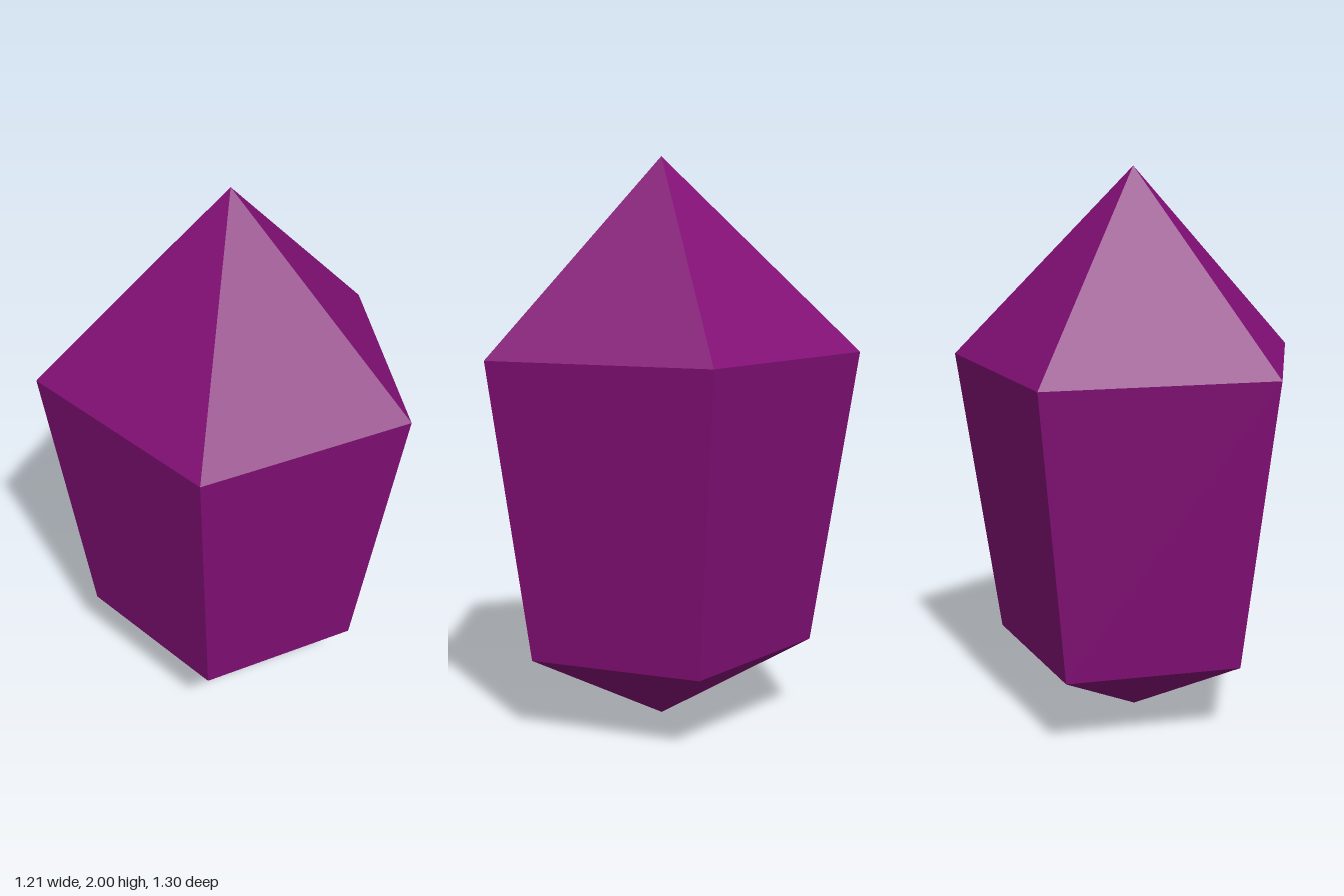
import * as THREE from 'three';

// Uneven five-sided cross-section (x, z), clockwise from above
const ring = [[-0.605, 0.01], [-0.152, -0.655], [0.603, -0.357], [0.587, 0.434], [-0.139, 0.65]];
const axis = [0.056, 0.01];

// The cross-section scaled about the crystal's axis at a given height
function section(y, scale) {
  return ring.map(([x, z]) => [
    axis[0] + (x - axis[0]) * scale,
    y,
    axis[1] + (z - axis[1]) * scale,
  ]);
}

// Joins neighbouring sections with flat facets; a scale of 0 makes a point
function facets(lower, upper) {
  const positions = [];
  lower.forEach((a, i) => {
    const j = (i + 1) % lower.length;
    const b = lower[j];
    positions.push(...b, ...a, ...upper[i], ...b, ...upper[i], ...upper[j]);
  });
  const geometry = new THREE.BufferGeometry();
  geometry.setAttribute('position', new THREE.Float32BufferAttribute(positions, 3));
  geometry.computeVertexNormals();
  return geometry;
}

export function createModel() {
  const crystal = new THREE.Group();
  crystal.name = 'crystal';
  const purple = new THREE.MeshStandardMaterial({ color: 0x830f76, flatShading: true });
  purple.name = 'purple';

  const base = section(0, 0);
  const waist = section(0.285, 0.77);
  const shoulder = section(1.327, 1);
  const peak = section(2, 0);

  const parts = { lowerPoint: [base, waist], body: [waist, shoulder], upperPoint: [shoulder, peak] };
  for (const [name, [lower, upper]] of Object.entries(parts)) {
    // Drop the collapsed triangles at the two points
    const geometry = facets(lower, upper);
    const p = geometry.attributes.position.array;
    const kept = [];
    const t = new THREE.Triangle();
    for (let k = 0; k < p.length; k += 9) {
      t.a.fromArray(p, k);
      t.b.fromArray(p, k + 3);
      t.c.fromArray(p, k + 6);
      if (t.getArea() > 1e-6) kept.push(...p.slice(k, k + 9));
    }
    geometry.setAttribute('position', new THREE.Float32BufferAttribute(kept, 3));
    geometry.deleteAttribute('normal');
    geometry.computeVertexNormals();
    const mesh = new THREE.Mesh(geometry, purple);
    mesh.name = name;
    crystal.add(mesh);
  }
  return crystal;
}
